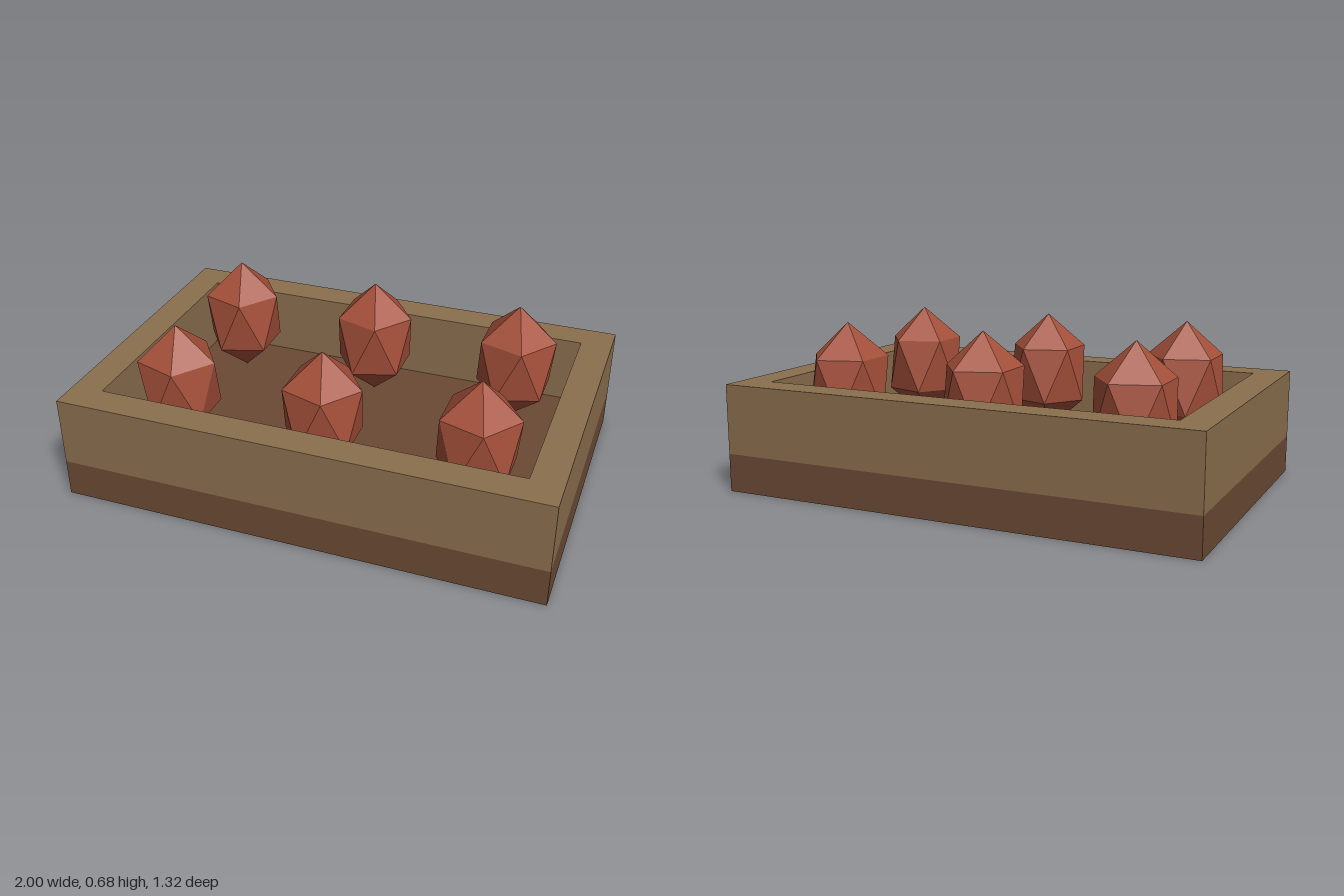
import * as THREE from 'three';

const WIDTH = 2, DEPTH = 1.316, WALL = 0.13;
const BASE_TOP = 0.158, RIM = 0.448;

const material = (color) => new THREE.MeshStandardMaterial({ color, flatShading: true });

// Corners of a rectangle centred on the origin
const rectangle = (w, d) => [[-1, -1], [1, -1], [1, 1], [-1, 1]]
  .map(([x, y]) => new THREE.Vector2(x * w / 2, y * d / 2));

export function createModel() {
  const model = new THREE.Group();
  model.name = 'crystalTray';

  const add = (name, geometry, mat, x, y, z) => {
    const mesh = new THREE.Mesh(geometry, mat);
    mesh.name = name;
    mesh.position.set(x, y, z);
    model.add(mesh);
  };

  // Floor slab
  add('base', new THREE.BoxGeometry(WIDTH, BASE_TOP, DEPTH), material(0x6b4a34), 0, BASE_TOP / 2, 0);

  // Rectangular rim standing on the slab
  const outline = new THREE.Shape(rectangle(WIDTH, DEPTH));
  outline.holes.push(new THREE.Path(rectangle(WIDTH - 2 * WALL, DEPTH - 2 * WALL).reverse()));
  const frame = new THREE.ExtrudeGeometry(outline, { depth: RIM - BASE_TOP, bevelEnabled: false });
  frame.rotateX(-Math.PI / 2);
  add('wallFrame', frame, material(0x8b6f4e), 0, BASE_TOP, 0);

  // Crystals: icosahedra turned point-up and stretched vertically
  const crystal = new THREE.IcosahedronGeometry(0.184, 0);
  crystal.rotateZ(-Math.atan(2 / (1 + Math.sqrt(5))));
  crystal.scale(1, 1.41, 1);
  const red = material(0xa5503a);
  for (const z of [-0.316, 0.316]) {
    for (const x of [-0.632, 0, 0.632]) add('crystal', crystal, red, x, 0.425, z);
  }

  return model;
}
